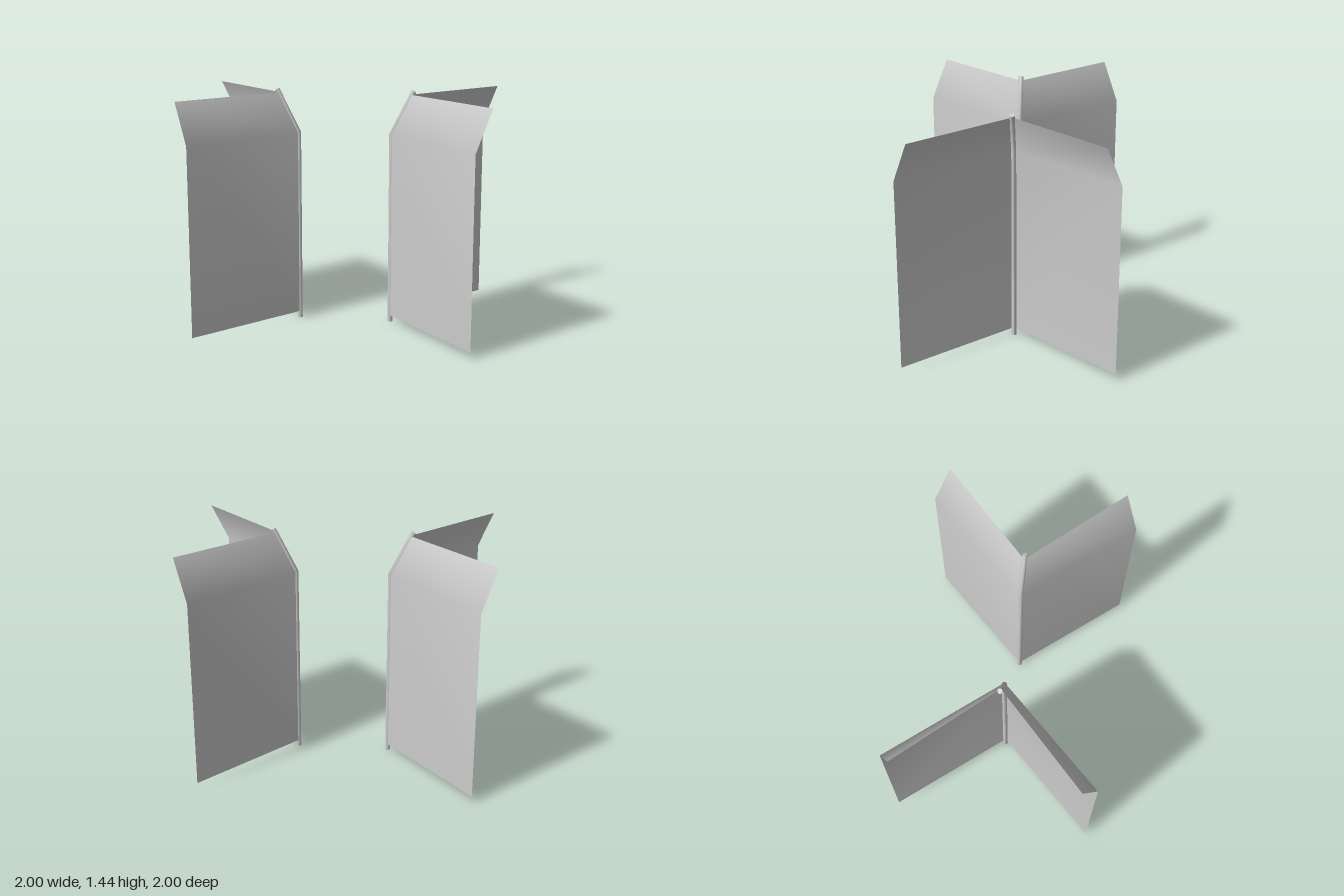
import * as THREE from 'three';

const material = new THREE.MeshStandardMaterial({ color: 0xcccccc, side: THREE.DoubleSide });

// Thin panel bent outward at the top; each row runs from the post to the free end
function makePanel(swap) {
  const rows = [
    [[0.198, 0.04, 0.192], [1, 0.04, 0.14]],
    [[0.198, 1.17, 0.192], [1, 1.17, 0.14]],
    [[0.28, 1.41, 0.276], [1, 1.41, 0.262]],
  ];
  const points = [];
  for (const row of rows) {
    for (const [x, y, z] of swap ? [...row].reverse() : row) {
      points.push(...(swap ? [z, y, x] : [x, y, z]));
    }
  }
  const index = [];
  for (let i = 0; i < 4; i += 2) index.push(i, i + 1, i + 3, i, i + 3, i + 2);
  const geometry = new THREE.BufferGeometry();
  geometry.setAttribute('position', new THREE.Float32BufferAttribute(points, 3));
  geometry.setIndex(index);
  geometry.computeVertexNormals();
  return new THREE.Mesh(geometry, material);
}

// Round post with a mitred bend, leaning diagonally outward at the top
function makePost() {
  const lean = Math.atan2(0.13, 0.26);
  const rings = [
    { y: 0, out: 0, tilt: 0 },
    { y: 1.17, out: 0, tilt: lean / 2 },
    { y: 1.43, out: 0.13, tilt: lean },
  ];
  const geometry = new THREE.CylinderGeometry(0.015, 0.015, 2, 10, 2);
  const position = geometry.attributes.position;
  const v = new THREE.Vector3();
  const axis = new THREE.Vector3(1, 0, 0);
  for (let i = 0; i < position.count; i++) {
    v.fromBufferAttribute(position, i);
    const ring = rings[Math.round(v.y + 1)];
    v.y = 0;
    v.applyAxisAngle(axis, ring.tilt);
    position.setXYZ(i, v.x, v.y + ring.y, v.z + ring.out);
  }
  geometry.rotateY(Math.PI / 4);
  geometry.translate(0.2, 0, 0.2);
  geometry.computeVertexNormals();
  return new THREE.Mesh(geometry, material);
}

export function createModel() {
  const model = new THREE.Group();
  model.name = 'cornerFences';

  // Two identical corners, turned half a circle apart
  ['front', 'back'].forEach((side, i) => {
    const corner = new THREE.Group();
    corner.name = side + 'Corner';
    const parts = { post: makePost(), sidePanel: makePanel(false), lengthPanel: makePanel(true) };
    for (const [name, mesh] of Object.entries(parts)) {
      mesh.name = name;
      corner.add(mesh);
    }
    corner.rotation.y = i * Math.PI;
    model.add(corner);
  });
  return model;
}
